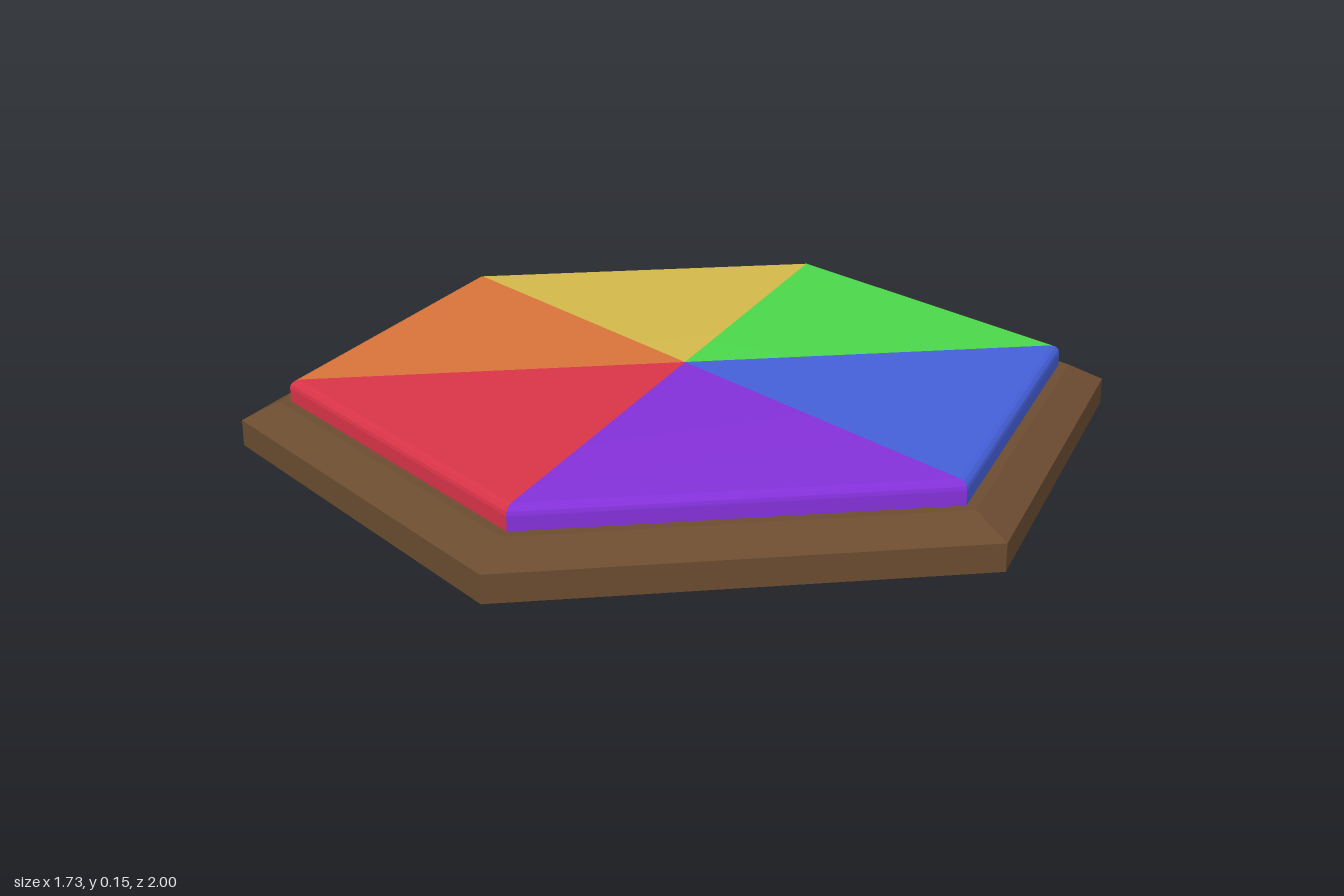
import * as THREE from 'three';
import { toCreasedNormals } from 'three/addons/utils/BufferGeometryUtils.js';

const APOTHEM = 0.77, TOP = 0.15, ROUND = 0.02;

// A 60 degree wedge pointing along +x, its outer top edge rounded
function wedgeGeometry() {
  const s = new THREE.Shape();
  s.moveTo(0, 0.09);
  s.lineTo(APOTHEM, 0.09);
  s.lineTo(APOTHEM, TOP - ROUND);
  s.absarc(APOTHEM - ROUND, TOP - ROUND, ROUND, 0, Math.PI / 2, false);
  s.lineTo(0, TOP);
  const g = new THREE.ExtrudeGeometry(s, { depth: 2, bevelEnabled: false, curveSegments: 6 });
  g.translate(0, 0, -1);
  // Taper the bar to a point at the centre
  const p = g.attributes.position;
  for (let i = 0; i < p.count; i++) {
    p.setZ(i, p.getZ(i) * p.getX(i) * Math.tan(Math.PI / 6));
  }
  return toCreasedNormals(g, 0.6);
}

export function createModel() {
  const model = new THREE.Group();
  model.name = 'hexagonalTray';

  // Wooden base with a chamfered upper edge
  const profile = [[0, 0], [1, 0], [1, 0.06], [0.915, 0.1], [0, 0.1]]
    .map(([r, y]) => new THREE.Vector2(r, y));
  const base = new THREE.Mesh(
    new THREE.LatheGeometry(profile, 6),
    new THREE.MeshStandardMaterial({ color: 0x6b4c30, flatShading: true })
  );
  base.name = 'base';
  model.add(base);

  // Six coloured wedges, counter-clockwise from +x
  const colors = {
    blue: 0x4560d9, green: 0x4cd94c, yellow: 0xd4b94b,
    orange: 0xd97339, red: 0xd93448, purple: 0x8431d9,
  };
  const geometry = wedgeGeometry();
  Object.entries(colors).forEach(([name, color], i) => {
    const wedge = new THREE.Mesh(geometry, new THREE.MeshStandardMaterial({ color }));
    wedge.name = name + 'Wedge';
    wedge.rotation.y = i * Math.PI / 3;
    model.add(wedge);
  });
  return model;
}
